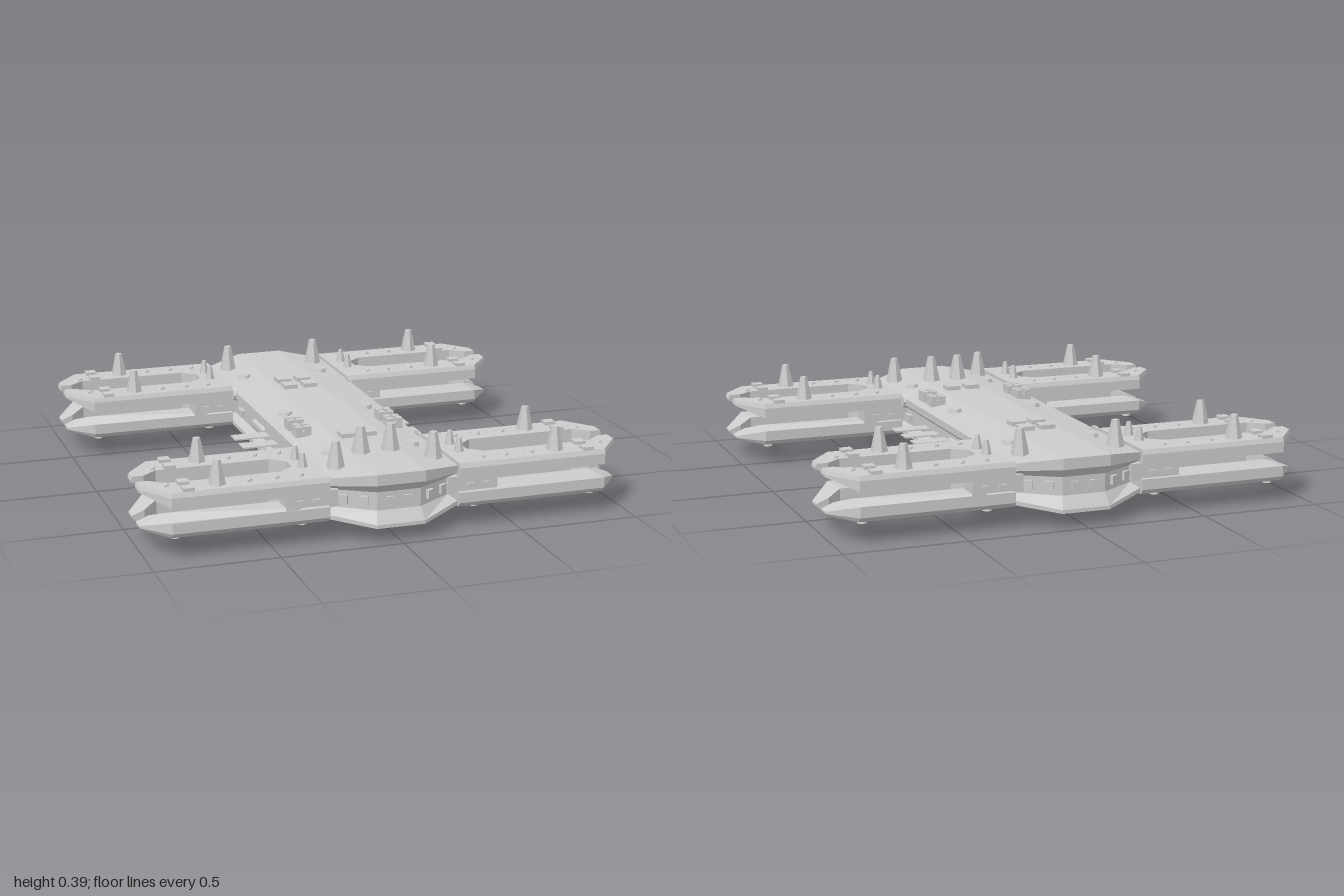
import * as THREE from 'three';
import { RoundedBoxGeometry } from 'three/addons/geometries/RoundedBoxGeometry.js';

const mat = new THREE.MeshStandardMaterial({ color: 0xcccccc, flatShading: true });

function add(parent, name, geo, x = 0, y = 0, z = 0) {
  const m = new THREE.Mesh(geo, mat);
  m.name = name;
  m.position.set(x, y, z);
  parent.add(m);
  return m;
}
// Parts whose y is the height of the surface they stand on
const box = (p, name, w, h, d, x, y, z) => add(p, name, new THREE.BoxGeometry(w, h, d), x, y + h / 2, z);
const spire = (p, name, r, h, x, y, z) =>
  add(p, name, new THREE.CylinderGeometry(r * 0.42, r, h, 6), x, y + h / 2, z);
const disc = (p, name, r, h, x, y, z) =>
  add(p, name, new THREE.CylinderGeometry(r * 0.85, r, h, 8), x, y + h / 2, z);

const slope = x => THREE.MathUtils.clamp((Math.abs(x) - 0.1) / 0.17, 0, 1);
const deckY = x => 0.28 - 0.025 * slope(x);

// Hull: stacked eight-sided rings, thinner toward the sides, with a waist band
function hullGeometry() {
  // height at the centre, height at the sides, inset
  const levels = [[0.06, 0.09, 0], [0.075, 0.108, 0], [0.125, 0.13, 0.03],
    [0.2, 0.2, 0.03], [0.235, 0.225, 0], [0.28, 0.255, 0]];
  const outline = [[0.1, 0.97], [0.27, 0.88], [0.27, -0.88], [0.1, -0.97],
    [-0.1, -0.97], [-0.27, -0.88], [-0.27, 0.88], [-0.1, 0.97]];
  const pos = [], idx = [];
  for (const [yc, ys, inset] of levels)
    for (const [x, z] of outline)
      pos.push(x - Math.sign(x) * inset * (Math.abs(x) > 0.2 ? 1 : 0.3),
        yc + (ys - yc) * slope(x), z - Math.sign(z) * inset);
  const quad = (a, b, c, d) => idx.push(a, b, c, a, c, d);
  for (let l = 0; l < levels.length - 1; l++)
    for (let i = 0; i < 8; i++) {
      const j = (i + 1) % 8;
      quad(l * 8 + i, l * 8 + j, l * 8 + 8 + j, l * 8 + 8 + i);
    }
  const top = (levels.length - 1) * 8;
  for (const [a, b, c, d] of [[0, 1, 2, 3], [7, 0, 3, 4], [6, 7, 4, 5]]) {
    quad(top + a, top + b, top + c, top + d);
    quad(d, c, b, a);
  }
  const g = new THREE.BufferGeometry();
  g.setAttribute('position', new THREE.Float32BufferAttribute(pos, 3));
  g.setIndex(idx);
  const flat = g.toNonIndexed();
  flat.computeVertexNormals();
  return flat;
}

// Flat slab from half an outline, mirrored across z = 0
function slab(half, yTop, depth, steps = 1) {
  const pts = [...half, ...half.map(([x, z]) => [x, -z]).reverse()];
  const shape = new THREE.Shape(pts.map(([x, z]) => new THREE.Vector2(x, z)));
  return new THREE.ExtrudeGeometry(shape, { depth, steps, bevelEnabled: false })
    .rotateX(Math.PI / 2).translate(0, yTop, 0);
}

// Forked plate: chamfered on its outer face, thinning toward the prong tips
function forkPlate(upper) {
  const half = [[0.37, 0.033], [0.43, 0.083], [0.89, 0.083], [0.95, 0.033],
    [1, 0.033], [1, 0.09], [0.9, 0.217], [0.27, 0.217]];
  const lo = upper ? 0.205 : 0.085, hi = upper ? 0.268 : 0.148;
  const g = slab(half.reverse(), hi, hi - lo, 2);
  const p = g.attributes.position, mid = (lo + hi) / 2;
  for (let i = 0; i < p.count; i++) {
    const x = p.getX(i), y = p.getY(i), z = p.getZ(i);
    const side = Math.abs(y - mid) < 0.01 ? 0 : Math.sign(y - mid) * (upper ? 1 : -1);
    const tip = Math.max(0, (x - 0.9) / 0.1);
    if (side < 0) p.setY(i, y + (upper ? 1 : -1) * 0.04 * tip);
    if (side === 0) p.setY(i, y + (upper ? 1 : -1) * (0.012 + 0.005 * tip));
    if (side > 0 && Math.abs(z) > 0.2) p.setZ(i, z - Math.sign(z) * (upper ? 0.008 : 0.018));
    if (side > 0 && x > 0.99) p.setX(i, upper ? 0.995 : 0.985);
  }
  g.computeVertexNormals();
  return g;
}

function dockingArm() {
  const arm = new THREE.Group();
  arm.name = 'dockingArm';
  add(arm, 'upperFork', forkPlate(true));
  add(arm, 'lowerFork', forkPlate(false));
  add(arm, 'forkConnector', slab([[0.23, 0.195], [0.44, 0.195], [0.44, 0.095], [0.385, 0.04]], 0.21, 0.07));
  for (const s of [-1, 1]) {
    spire(arm, 'armSpire', 0.036, 0.1, 0.705, 0.265, s * 0.15);
    spire(arm, 'smallSpire', 0.022, 0.06, 0.33, 0.265, s * 0.05);
    for (const z of [0.105, 0.187]) box(arm, 'armPad', 0.045, 0.014, 0.045, 0.83, 0.267, s * z);
    for (const x of [0.38, 0.48, 0.59]) disc(arm, 'armDisc', 0.025, 0.009, x, 0.267, s * 0.15);
    disc(arm, 'tipDisc', 0.026, 0.008, 0.91, 0.267, s * 0.11);
    // Edge fittings and underside feet
    for (const x of [0.32, 0.39]) box(arm, 'edgeFitting', 0.03, 0.025, 0.015, x, 0.155, s * 0.197);
    for (const x of [0.36, 0.87]) {
      disc(arm, 'underFoot', 0.03, 0.012, x, 0.075, s * 0.135);
      disc(arm, 'underFootTip', 0.02, 0.012, x, 0.064, s * 0.135);
    }
  }
  return arm;
}

export function createModel() {
  const model = new THREE.Group();
  model.name = 'spaceStation';
  add(model, 'hull', hullGeometry());

  // Four forked arms
  for (const side of [0, Math.PI])
    for (const z of [-0.688, 0.688]) {
      const arm = dockingArm();
      arm.rotation.y = side;
      arm.position.z = z;
      model.add(arm);
    }

  for (const s of [-1, 1]) {
    // Deck spires
    for (const z of [-0.78, 0.775]) spire(model, 'deckSpire', 0.038, 0.108, s * 0.205, 0.264, z);
    spire(model, 'frontSpire', 0.04, 0.11, s * 0.063, 0.278, 0.665);

    // Deck hatches, discs and studded blocks
    for (const z of [-0.44, -0.34, 0.44]) box(model, 'deckHatch', 0.062, 0.022, 0.062, s * 0.045, 0.276, z);
    for (const z of [-0.6, 0.03, 0.6]) disc(model, 'deckDisc', 0.032, 0.018, s * 0.18, deckY(0.18) - 0.003, z);
    for (const z of [0.215, 0.32]) {
      box(model, 'studBase', 0.066, 0.025, 0.066, s * 0.2, 0.262, z);
      for (const dx of [-0.019, 0.019])
        for (const dz of [-0.019, 0.019])
          box(model, 'stud', 0.028, 0.022, 0.028, s * 0.2 + dx, 0.285, z + dz);
    }

    // Side panels, wall plates and bumps
    for (const z of [-0.035, 0.09, 0.215]) box(model, 'sidePanel', 0.17, 0.006, 0.07, s * 0.31, 0.163, z);
    add(model, 'wallPlate', new RoundedBoxGeometry(0.03, 0.042, 0.16, 2, 0.014), s * 0.24, 0.165, -0.15);
    add(model, 'lowerWallPlate', new RoundedBoxGeometry(0.03, 0.042, 0.155, 2, 0.014), s * 0.252, 0.115, 0.03);
    for (const z of [-0.4, 0.44]) box(model, 'wallBlock', 0.03, 0.03, 0.06, s * 0.245, 0.15, z);
    for (const z of [-0.44, 0.44])
      add(model, 'sideBump', new THREE.CylinderGeometry(0.025, 0.032, 0.02, 8), s * 0.27, 0.242, z)
        .rotation.z = -s * Math.PI / 2;

    // Windows around both end bands
    for (const e of [-1, 1]) {
      box(model, 'endWindow', 0.03, 0.03, 0.02, s * 0.037, 0.15, e * 0.94);
      for (const x of [0.135, 0.205]) {
        const w = box(model, 'endWindow', 0.034, 0.036, 0.024, s * x, 0.147, e * (0.94 - (x - 0.097) * 0.63));
        w.rotation.y = s * e * 0.56;
      }
    }

    // Underside skids and curved landing feet
    add(model, 'skid', new RoundedBoxGeometry(0.075, 0.05, 0.32, 2, 0.02), s * 0.063, 0.055, 0);
    for (const e of [-1, 1]) {
      box(model, 'footBlock', 0.075, 0.04, 0.055, s * 0.065, 0.03, e * 0.285);
      add(model, 'footPad', new THREE.CylinderGeometry(0.028, 0.028, 0.075, 10), s * 0.065, 0.036, e * 0.275)
        .rotation.z = Math.PI / 2;
      for (const dx of [-0.024, 0, 0.024])
        box(model, 'footClaw', 0.013, 0.05, 0.045, s * 0.065 + dx, 0, e * 0.285);
      box(model, 'footArm', 0.05, 0.012, 0.06, s * 0.065, 0.05, e * 0.32);
    }
  }
  return model;
}
